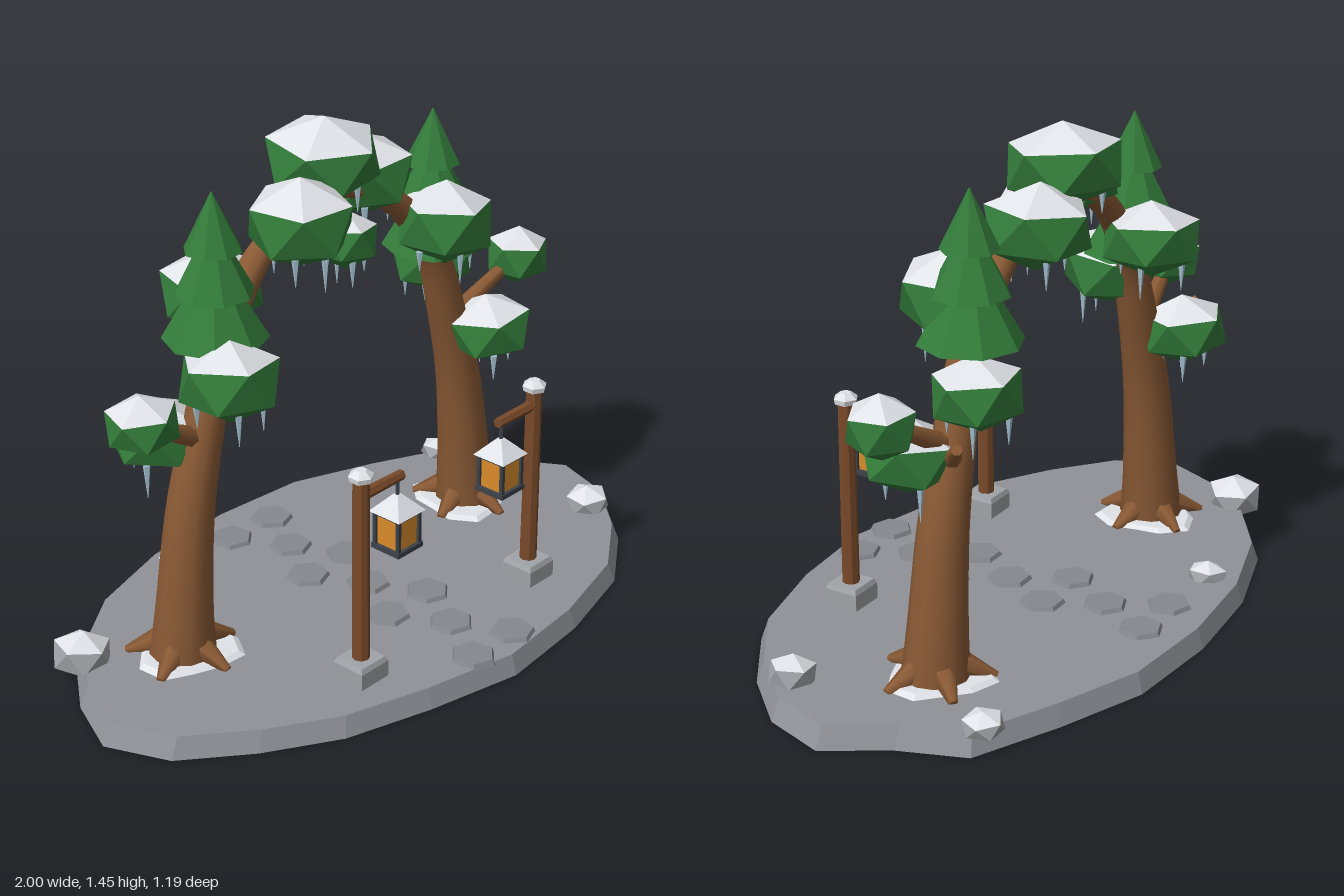
import * as THREE from 'three';

const material = (name, color, extra = {}) => {
  const m = new THREE.MeshStandardMaterial({ color, ...extra });
  m.name = name;
  return m;
};

// Cylinder or cone running from point a to point b
function rod(a, b, r1, r2, sides) {
  const from = new THREE.Vector3(...a), to = new THREE.Vector3(...b);
  const dir = to.clone().sub(from);
  const g = new THREE.CylinderGeometry(r2, r1, dir.length(), sides);
  g.applyQuaternion(new THREE.Quaternion().setFromUnitVectors(new THREE.Vector3(0, 1, 0), dir.normalize()));
  return g.translate(...from.add(to).multiplyScalar(0.5).toArray());
}

// Upright icosahedron: group 0 is the five cap faces, group 1 the rest
function cappedLump(turn) {
  const ring = (i, y, shift) => {
    const a = turn + ((i + shift) / 5) * Math.PI * 2;
    return [Math.sin(a) * 0.894, y, Math.cos(a) * 0.894];
  };
  const cap = [], body = [];
  for (let i = 0; i < 5; i++) {
    const u0 = ring(i, 0.447, 0), u1 = ring(i + 1, 0.447, 0);
    const d0 = ring(i, -0.447, 0.5), d1 = ring(i + 1, -0.447, 0.5);
    cap.push(u0, u1, [0, 1, 0]);
    body.push(u0, d0, u1, u1, d0, d1, d0, [0, -1, 0], d1);
  }
  const g = new THREE.BufferGeometry();
  g.setAttribute('position', new THREE.Float32BufferAttribute([...cap, ...body].flat(), 3));
  g.addGroup(0, cap.length, 0);
  g.addGroup(cap.length, body.length, 1);
  return g;
}

// Tube whose radius follows a rule along its length
function taperedTube(points, radius, segments, sides) {
  const curve = new THREE.CatmullRomCurve3(points.map(p => new THREE.Vector3(...p)));
  const g = new THREE.TubeGeometry(curve, segments, 1, sides);
  const pos = g.attributes.position, v = new THREE.Vector3();
  for (let k = 0; k < pos.count; k++) {
    const u = Math.floor(k / (sides + 1)) / segments, c = curve.getPointAt(u);
    v.fromBufferAttribute(pos, k).sub(c).multiplyScalar(radius(u)).add(c);
    pos.setXYZ(k, v.x, v.y, v.z);
  }
  g.computeVertexNormals();
  // Rejoin the shading at the tube seam by using radial normals
  for (let k = 0; k < pos.count; k++) {
    v.fromBufferAttribute(pos, k).sub(curve.getPointAt(Math.floor(k / (sides + 1)) / segments)).normalize();
    g.attributes.normal.setXYZ(k, v.x, v.y, v.z);
  }
  return g;
}

export function createModel() {
  const flat = { flatShading: true };
  const ground = material('ground stone', 0x8f9298, flat);
  const paving = material('paving stone', 0x85888d, flat);
  const rockGrey = material('light stone', 0xa0a3a7, flat);
  const snow = material('snow', 0xe6e9ee, flat);
  const leaf = material('leaf green', 0x337c3a, flat);
  const bark = material('bark', 0x8a5a35);
  const timber = material('timber', 0x7a4a2a, flat);
  const ice = material('ice', 0xa4c2d2, flat);
  const iron = material('iron', 0x3c424a, flat);
  const amber = material('amber glass', 0xd98c2b, flat);

  const model = new THREE.Group();
  model.name = 'snowyTreeArch';
  const add = (name, geometry, mat, parent = model) => {
    const m = new THREE.Mesh(geometry, mat);
    m.name = name;
    parent.add(m);
    return m;
  };
  const group = (name) => {
    const g = new THREE.Group();
    g.name = name;
    model.add(g);
    return g;
  };

  // Oval ground slab with a slightly uneven rim
  const rim = [1, 0.94, 1.02, 0.98, 1.01, 1, 1, 1, 0.98, 0.97, 1, 0.97, 0.92, 0.92, 0.92, 0.98, 0.98, 1, 0.98, 0.99];
  const slab = new THREE.CylinderGeometry(0.97, 1, 0.06, 20).translate(0, 0.03, 0);
  const sp = slab.attributes.position;
  for (let k = 0; k < sp.count; k++) {
    const a = Math.atan2(-sp.getZ(k), sp.getX(k));
    const s = rim[(Math.round(a / (Math.PI / 10)) + 20) % 20];
    sp.setXYZ(k, sp.getX(k) * s, sp.getY(k), sp.getZ(k) * s * 0.6);
  }
  add('groundSlab', slab, ground);

  // Stepping stones in alternating rows of two and one
  for (let row = 0; row < 7; row++) {
    const z = -0.45 + row * 0.158;
    for (const x of row % 2 ? [0.01] : [-0.08, 0.09]) {
      const stone = add('steppingStone', new THREE.CylinderGeometry(0.06, 0.07, 0.02, 6), paving);
      stone.position.set(x, 0.062, z);
      stone.rotation.y = row * 0.35 + x * 4 + 0.5;
    }
  }

  // Two leaning trunks that meet overhead, with roots, snow patch and side branch
  const trunkPath = [[0.605, 0.04, -0.11], [0.59, 0.22, -0.11], [0.555, 0.5, -0.11], [0.49, 0.75, -0.11],
    [0.42, 0.95, -0.11], [0.28, 1.13, -0.12], [0.12, 1.22, -0.13], [-0.02, 1.25, -0.14]];
  for (const side of [-1, 1]) {
    const tree = group(side > 0 ? 'leftTree' : 'rightTree');
    const path = trunkPath.map(([x, y, z]) => [x * side, y, z]);
    add('trunk', taperedTube(path, u => 0.025 + 0.063 * (1 - u) + 0.012 * Math.exp(-u * 20), 28, 12), bark, tree);
    for (let i = 0; i < 5; i++) {
      const a = i * 1.257 + 0.4, c = Math.cos(a) * side, s = Math.sin(a);
      add('root', rod([0.6 * side + c * 0.05, 0.105, -0.11 + s * 0.05],
        [0.6 * side + c * 0.16, 0.06, -0.11 + s * 0.16], 0.04, 0.012, 6), bark, tree);
    }
    const patch = new THREE.CylinderGeometry(0.13, 0.15, 0.014, 11);
    const pp = patch.attributes.position;
    for (let k = 0; k < pp.count; k++) {
      const s = 1 + 0.16 * Math.sin(Math.atan2(pp.getZ(k), pp.getX(k)) * 3 + side);
      pp.setXYZ(k, pp.getX(k) * s, pp.getY(k), pp.getZ(k) * s);
    }
    add('snowPatch', patch.translate(0.59 * side, 0.064, -0.11), snow, tree);
    add('branch', rod([0.51 * side, 0.69, -0.11], [0.76 * side, 0.83, -0.07], 0.032, 0.018, 7), bark, tree);
    add('backBranch', rod([0.52 * side, 0.65, -0.11], [0.66 * side, 0.76, -0.22], 0.028, 0.015, 7), bark, tree);

    // Three-tier conifer on the shoulder of the arch
    const conifer = new THREE.Group();
    conifer.name = 'conifer';
    tree.add(conifer);
    [[0.145, 0.96, 0.25], [0.11, 1.09, 0.21], [0.08, 1.21, 0.165]].forEach(([r, y, h], i) => {
      const tier = add('coniferTier', new THREE.ConeGeometry(r, h, 8), leaf, conifer);
      tier.position.set(0.435 * side, y + h / 2, -0.12);
      tier.rotation.y = i * 0.25;
    });
  }

  // Snow-capped leaf clumps [x, y, z, radius, half height], with icicles below
  const clumps = [
    [-0.75, 0.838, -0.07, 0.108, 0.083], [-0.575, 0.695, -0.22, 0.14, 0.105],
    [-0.485, 0.885, -0.02, 0.152, 0.12], [-0.34, 1.04, -0.23, 0.155, 0.11],
    [-0.19, 1.238, -0.04, 0.16, 0.127], [-0.07, 1.165, 0.01, 0.098, 0.083],
    [0.02, 1.335, -0.155, 0.178, 0.118], [0.215, 1.222, -0.19, 0.162, 0.12],
    [0.39, 1.065, -0.03, 0.152, 0.125], [0.53, 0.865, -0.2, 0.135, 0.105],
    [0.585, 0.675, -0.02, 0.14, 0.105], [0.775, 0.832, -0.07, 0.102, 0.092]];
  clumps.forEach(([x, y, z, r, h], i) => {
    const g = group('leafClump');
    g.position.set(x, y, z);
    const lump = add('capAndLeaves', cappedLump(i * 1.7), [snow, leaf], g);
    lump.scale.set(r, h, r);
    lump.rotation.set(Math.sin(i * 2.3) * 0.08, 0, Math.cos(i * 1.9) * 0.08);
    if (r < 0.11 && i !== 5) return;
    for (let k = 0; k < 4; k++) {
      const a = i + k * 1.6, d = r * (0.45 + 0.15 * (k % 2)), len = 0.06 + 0.02 * ((i + k) % 3);
      const px = Math.cos(a) * d, pz = Math.sin(a) * d, top = -h * 0.55;
      add('icicle', rod([px, top, pz], [px, top - len, pz], 0.011, 0.001, 5), ice, g);
    }
  });

  // Rocks with snowy tops
  [[-0.815, 0.075, -0.29, 0.09, 0.07], [-0.305, 0.06, -0.455, 0.063, 0.045], [0.765, 0.07, -0.36, 0.062, 0.038],
    [0.81, 0.075, 0.21, 0.072, 0.056]].forEach(([x, y, z, r, h], i) => {
    const rock = add('rock', cappedLump(i * 0.9), [snow, rockGrey]);
    rock.position.set(x, y, z);
    rock.scale.set(r, h, r);
    rock.rotation.z = 0.12 * (i % 2 ? 1 : -1);
  });

  // Lantern posts, arms reaching inward over the path
  for (const side of [-1, 1]) {
    const lamp = group(side > 0 ? 'leftLampPost' : 'rightLampPost');
    lamp.position.z = 0.335;
    const px = 0.36 * side, lx = 0.217 * side;
    const box = (name, w, h, d, x, y, z, mat) =>
      add(name, new THREE.BoxGeometry(w, h, d).translate(x, y, z), mat, lamp);
    box('footing', 0.105, 0.05, 0.105, px, 0.083, 0, rockGrey);
    const footTop = new THREE.CylinderGeometry(0.065, 0.074, 0.014, 4).rotateY(Math.PI / 4);
    add('footingTop', footTop.translate(px, 0.115, 0), rockGrey, lamp);
    add('post', rod([px, 0.1, 0], [px, 0.675, 0], 0.025, 0.023, 8), timber, lamp);
    add('postSnow', rod([px, 0.667, 0], [px, 0.682, 0], 0.033, 0.036, 6), snow, lamp);
    add('postSnowTop', rod([px, 0.682, 0], [px, 0.698, 0], 0.036, 0.016, 6), snow, lamp);
    add('arm', rod([px, 0.62, 0], [0.2 * side, 0.62, 0], 0.017, 0.015, 6), timber, lamp);
    add('hook', rod([lx, 0.61, 0], [lx, 0.56, 0], 0.006, 0.006, 6), iron, lamp);
    const roof = new THREE.CylinderGeometry(0.012, 0.077, 0.05, 4).rotateY(Math.PI / 4);
    add('lanternRoof', roof.translate(lx, 0.542, 0), snow, lamp);
    box('lanternGlass', 0.078, 0.1, 0.078, lx, 0.467, 0, amber);
    box('lanternTop', 0.094, 0.01, 0.094, lx, 0.514, 0, iron);
    box('lanternFloor', 0.1, 0.014, 0.1, lx, 0.413, 0, iron);
    for (const sx of [-1, 1]) for (const sz of [-1, 1])
      box('lanternBar', 0.011, 0.1, 0.011, lx + sx * 0.041, 0.467, sz * 0.041, iron);
  }
  return model;
}
